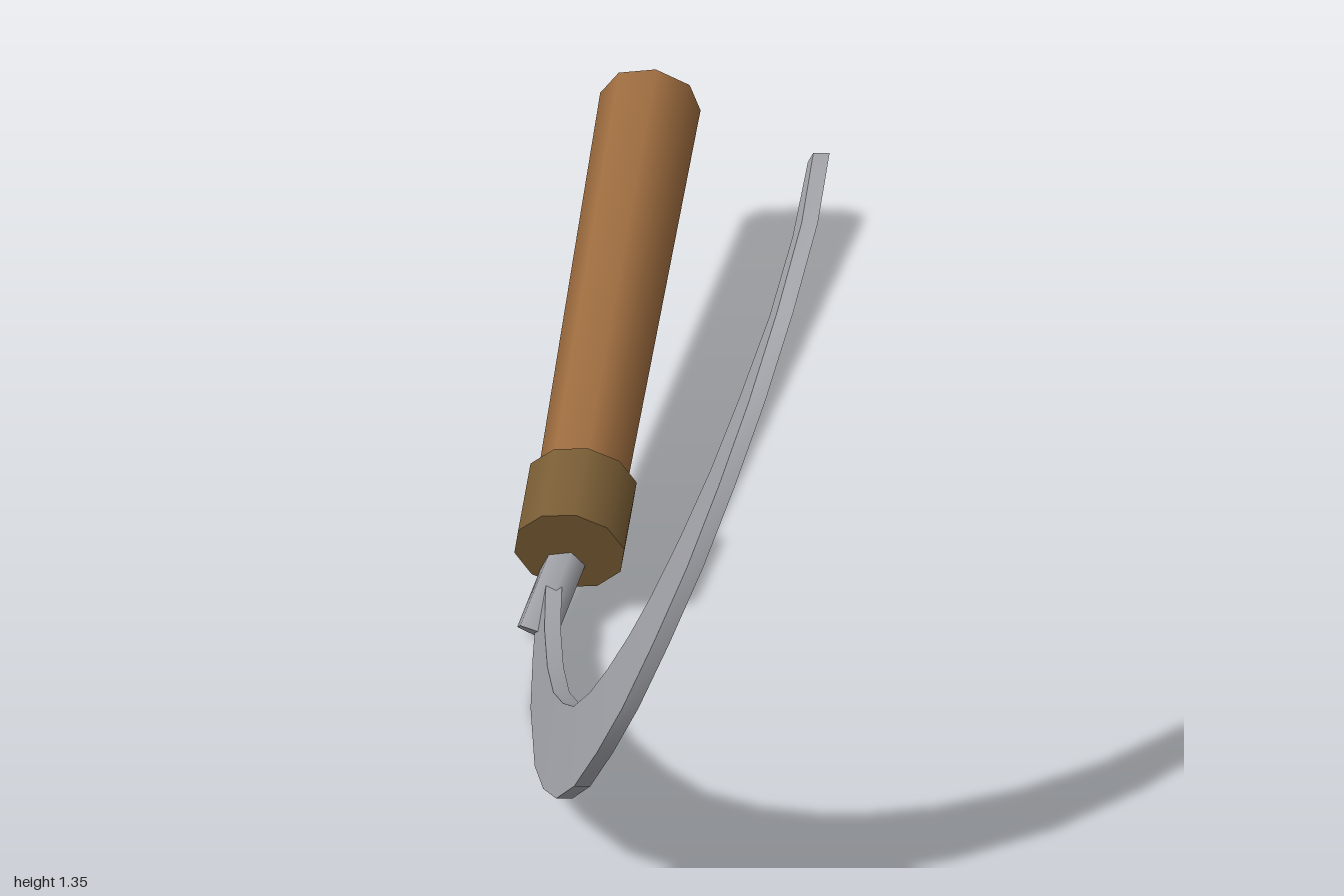
import * as THREE from 'three';
import { toCreasedNormals } from 'three/addons/utils/BufferGeometryUtils.js';

const metal = new THREE.MeshStandardMaterial({ color: 0xa0a1a7 });
metal.name = 'steel';
const wood = new THREE.MeshStandardMaterial({ color: 0x9c6b3e });
wood.name = 'wood';
const collar = new THREE.MeshStandardMaterial({ color: 0x785c34 });
collar.name = 'darkBronze';

// Cylinder running from point a (radius ra) to point b (radius rb)
function rod(name, a, b, ra, rb, sides, material) {
  const from = new THREE.Vector3(...a), to = new THREE.Vector3(...b);
  const dir = to.clone().sub(from);
  const mesh = new THREE.Mesh(new THREE.CylinderGeometry(rb, ra, dir.length(), sides), material);
  mesh.position.copy(from).add(to).multiplyScalar(0.5);
  mesh.quaternion.setFromUnitVectors(new THREE.Vector3(0, 1, 0), dir.normalize());
  mesh.name = name;
  return mesh;
}

// Blade stations as [z, y], from the tip down to the root
const OUTER = [
  [0.455, 1.362], [0.6, 1.32], [0.735, 1.23], [0.85, 1.12], [0.93, 1.0], [0.985, 0.865],
  [1.0, 0.71], [0.985, 0.56], [0.935, 0.425], [0.86, 0.295], [0.75, 0.185], [0.61, 0.1],
  [0.465, 0.04], [0.26, 0.01], [0.13, 0.025], [0.03, 0.05], [-0.04, 0.075],
];
const INNER = [
  [0.455, 1.342], [0.595, 1.287], [0.71, 1.2], [0.79, 1.08], [0.84, 0.96], [0.858, 0.83],
  [0.85, 0.7], [0.82, 0.59], [0.77, 0.48], [0.71, 0.385], [0.625, 0.29], [0.53, 0.225],
  [0.42, 0.165], [0.295, 0.125], [0.16, 0.105], [0.07, 0.11], [-0.03, 0.125],
];

// Flat crescent with a rectangular section, leaning and bowing sideways with height
function bladeGeometry() {
  const half = 0.014;
  const lean = (y) => -0.233 + 0.241 * y + 0.088 * y * y;
  const point = ([z, y], side) => [lean(y) + side * half, y, z];
  const positions = [];
  const quad = (a, b, c, d) => positions.push(...a, ...b, ...c, ...a, ...c, ...d);
  const rings = OUTER.map((o, i) => [
    point(o, 1), point(o, -1), point(INNER[i], -1), point(INNER[i], 1),
  ]);
  for (let i = 0; i < rings.length - 1; i++) {
    for (let k = 0; k < 4; k++) {
      const n = (k + 1) % 4;
      quad(rings[i][k], rings[i][n], rings[i + 1][n], rings[i + 1][k]);
    }
  }
  // Close the tip and the root
  const [a, b, c, d] = rings[0];
  quad(d, c, b, a);
  quad(...rings[rings.length - 1]);
  const geometry = new THREE.BufferGeometry();
  geometry.setAttribute('position', new THREE.Float32BufferAttribute(positions, 3));
  return toCreasedNormals(geometry, 0.6);
}

export function createModel() {
  const sickle = new THREE.Group();
  sickle.name = 'sickle';

  const blade = new THREE.Mesh(bladeGeometry(), metal);
  blade.name = 'blade';
  sickle.add(blade);

  // Stub that joins the blade to the handle
  sickle.add(rod('tang', [-0.235, 0.035, 0.08], [-0.172, 0.15, -0.03], 0.038, 0.038, 6, metal));
  sickle.add(rod('ferrule', [-0.178, 0.163, 0.013], [-0.157, 0.196, -0.135], 0.098, 0.098, 10, collar));
  sickle.add(rod('handle', [-0.162, 0.188, -0.1], [-0.04, 0.385, -0.98], 0.077, 0.088, 8, wood));
  return sickle;
}
